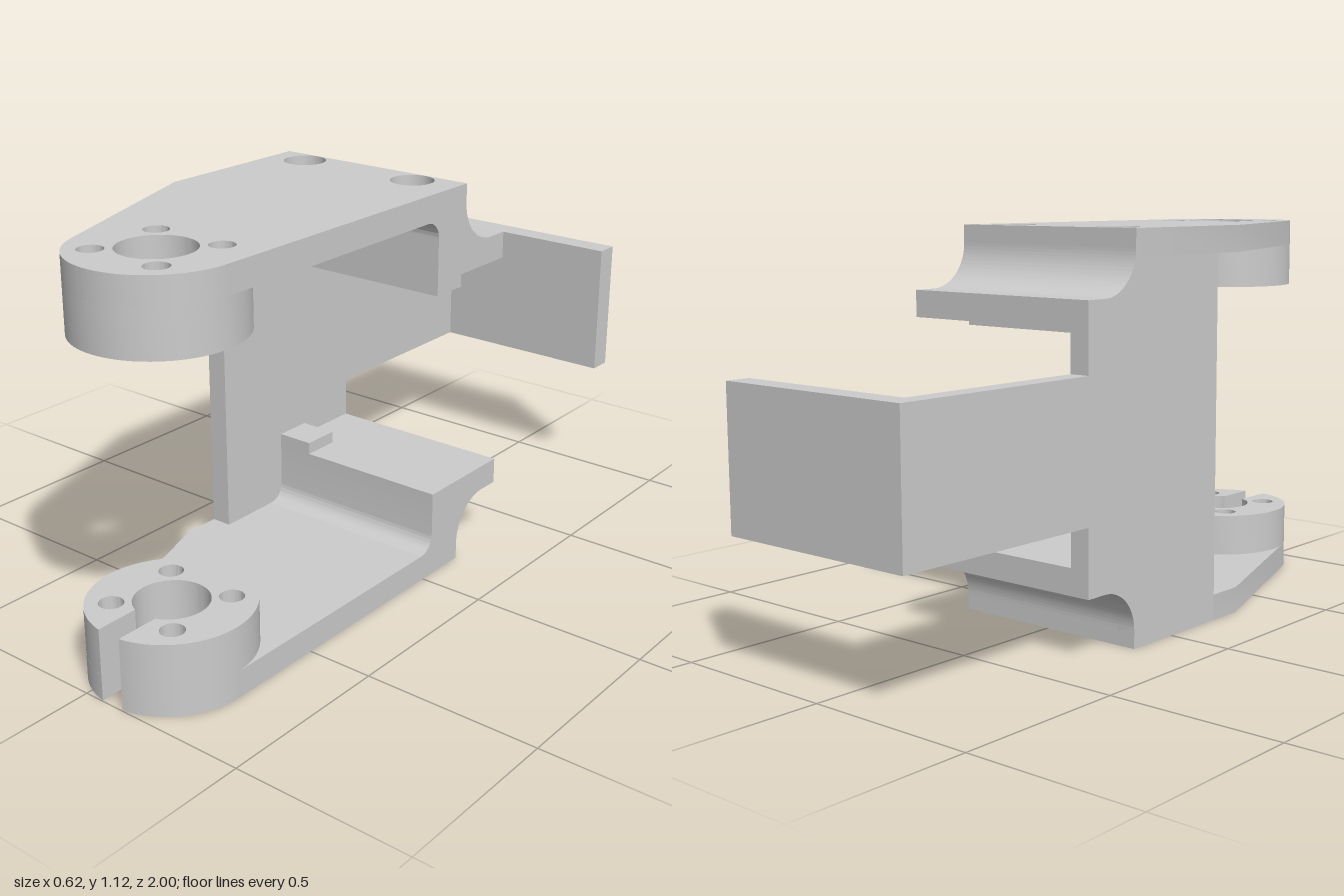
import * as THREE from 'three';
import { toCreasedNormals } from 'three/addons/utils/BufferGeometryUtils.js';

const H = 1.12, T = 0.075;              // overall height, arm plate thickness
const XL = -0.31, XI = -0.25, XR = 0.31; // outer wall, inner wall, open side
const C = [0.09, -0.78], R = 0.22, BORE = 0.1; // pivot eye (x, -z)
const D = Math.PI / 180;

const material = new THREE.MeshStandardMaterial({ color: 0xcccccc });

function extrude(shape, depth) {
  return new THREE.ExtrudeGeometry(shape, { depth, bevelEnabled: false, curveSegments: 32 });
}
function part(name, geometry) {
  const mesh = new THREE.Mesh(toCreasedNormals(geometry, 0.5), material);
  mesh.name = name;
  return mesh;
}
// Shape in (x, -z), raised from y0 to y1
function slab(name, shape, y0, y1) {
  return part(name, extrude(shape, y1 - y0).rotateX(-Math.PI / 2).translate(0, y0, 0));
}
// Side profile in (-z, y), extruded from x0 to x1
function profile(name, shape, x0, x1) {
  return part(name, extrude(shape, x1 - x0).rotateY(Math.PI / 2).translate(x0, 0, 0));
}
function poly(points) {
  return new THREE.Shape(points.map(p => new THREE.Vector2(...p)));
}
function addHole(shape, x, y, r) {
  shape.holes.push(new THREE.Path().absarc(x, y, r, 0, 2 * Math.PI, true));
}
function screwHoles(shape, r) {
  for (const x of [-0.2, 0.175]) addHole(shape, x, 0.1025, r);
  return shape;
}

// Outer arc of the eye from angle a to b, optionally split by the clamp slot
function eyeArc(shape, a, b, slot) {
  if (!slot) {
    shape.absarc(...C, R, a, b, false);
    addHole(shape, ...C, BORE);
  } else {
    const o = Math.asin(0.035 / R), i = Math.asin(0.035 / BORE), down = 270 * D;
    shape.absarc(...C, R, a, down - o, false);
    shape.absarc(...C, BORE, down - i, down + i - 2 * Math.PI, true);
    shape.absarc(...C, R, down + o, b, false);
  }
  for (const sx of [-1, 1]) for (const sy of [-1, 1])
    addHole(shape, C[0] + sx * 0.107, C[1] + sy * 0.107, 0.033);
  return shape;
}
function armShape(slot) {
  const s = new THREE.Shape();
  s.moveTo(XR, 0.165);
  s.lineTo(XL, 0.165);
  s.lineTo(XL, -0.31);
  eyeArc(s, 199.5 * D, 360 * D, slot);
  s.closePath();
  return s;
}
function bossShape(slot) {
  return eyeArc(new THREE.Shape(), 0, 2 * Math.PI, slot);
}

export function createModel() {
  const model = new THREE.Group();
  model.name = 'bracket';

  // Side wall with scooped rear corners and the rearward arm
  const wall = new THREE.Shape();
  wall.moveTo(-0.2, 0);
  wall.lineTo(0.165, 0);
  wall.lineTo(0.165, 0.05);
  wall.absarc(0.29, 0.05, 0.125, Math.PI, Math.PI / 2, true);
  for (const p of [[0.355, 0.175], [0.355, 0.365], [1, 0.365], [1, 0.755], [0.355, 0.755], [0.355, 0.945]])
    wall.lineTo(...p);
  wall.lineTo(0.29, 0.945);
  wall.absarc(0.29, 1.07, 0.125, -Math.PI / 2, -Math.PI, true);
  for (const p of [[0.165, 0.95], [0.04, 0.95], [0.04, H - T], [-0.2, H - T]]) wall.lineTo(...p);
  wall.closePath();
  model.add(profile('sideWall', wall, XL, XI));

  // Rear plate
  const rear = new THREE.BoxGeometry(XR - XI, 0.39, 0.07);
  model.add(part('rearPlate', rear.translate((XR + XI) / 2, 0.56, -0.965)));

  // Upper arm with its eye boss
  const upper = new THREE.Group();
  upper.name = 'upperArm';
  upper.add(slab('upperPlate', screwHoles(armShape(false), 0.06), H - T, H));
  upper.add(slab('upperBoss', bossShape(false), 0.92, H - T));

  // Screw block: counterbored layer, narrow bore layer, lower lip
  const block = (x0, z0) => poly([[x0, 0.04], [XR, 0.04], [XR, z0], [x0, z0]]);
  upper.add(slab('counterbore', screwHoles(block(XL, 0.165), 0.06), 0.95, H - T));
  upper.add(slab('screwBore', screwHoles(block(XI, 0.165), 0.03), 0.87, 0.95));
  upper.add(slab('lowerLip', screwHoles(block(XI, 0.15), 0.03), 0.835, 0.87));

  // Scooped flange behind the screw block
  const flange = new THREE.Shape();
  flange.moveTo(0.165, 0.87);
  flange.lineTo(0.355, 0.87);
  flange.lineTo(0.355, 0.945);
  flange.lineTo(0.29, 0.945);
  flange.absarc(0.29, 1.07, 0.125, -Math.PI / 2, -Math.PI, true);
  flange.closePath();
  upper.add(profile('upperFlange', flange, XI, XR));

  // Fillet under the plate
  const fillet = new THREE.Shape();
  fillet.moveTo(0.04, H - T);
  fillet.lineTo(-0.01, H - T);
  fillet.absarc(-0.01, 0.995, 0.05, Math.PI / 2, 0, true);
  fillet.closePath();
  upper.add(profile('upperFillet', fillet, XI, XR));
  model.add(upper);

  // Lower arm with its slotted eye boss
  const lower = new THREE.Group();
  lower.name = 'lowerArm';
  lower.add(slab('lowerPlate', armShape(true), 0, T));
  lower.add(slab('lowerBoss', bossShape(true), T, 0.2));

  // Stepped lower flange with inner fillet and outer scoop
  const step = new THREE.Shape();
  step.moveTo(-0.01, T);
  step.lineTo(-0.01, 0.04);
  step.lineTo(0.165, 0.04);
  step.lineTo(0.165, 0.05);
  step.absarc(0.29, 0.05, 0.125, Math.PI, Math.PI / 2, true);
  step.lineTo(0.355, 0.175);
  step.lineTo(0.355, 0.25);
  step.lineTo(0.04, 0.25);
  step.absarc(-0.01, 0.125, 0.05, 0, -Math.PI / 2, true);
  step.closePath();
  lower.add(profile('lowerFlange', step, XI, XR));

  // Small stop on the lower flange
  const stop = new THREE.BoxGeometry(0.11, 0.035, 0.11);
  lower.add(part('stop', stop.translate(-0.195, 0.2675, -0.095)));
  model.add(lower);

  return model;
}
